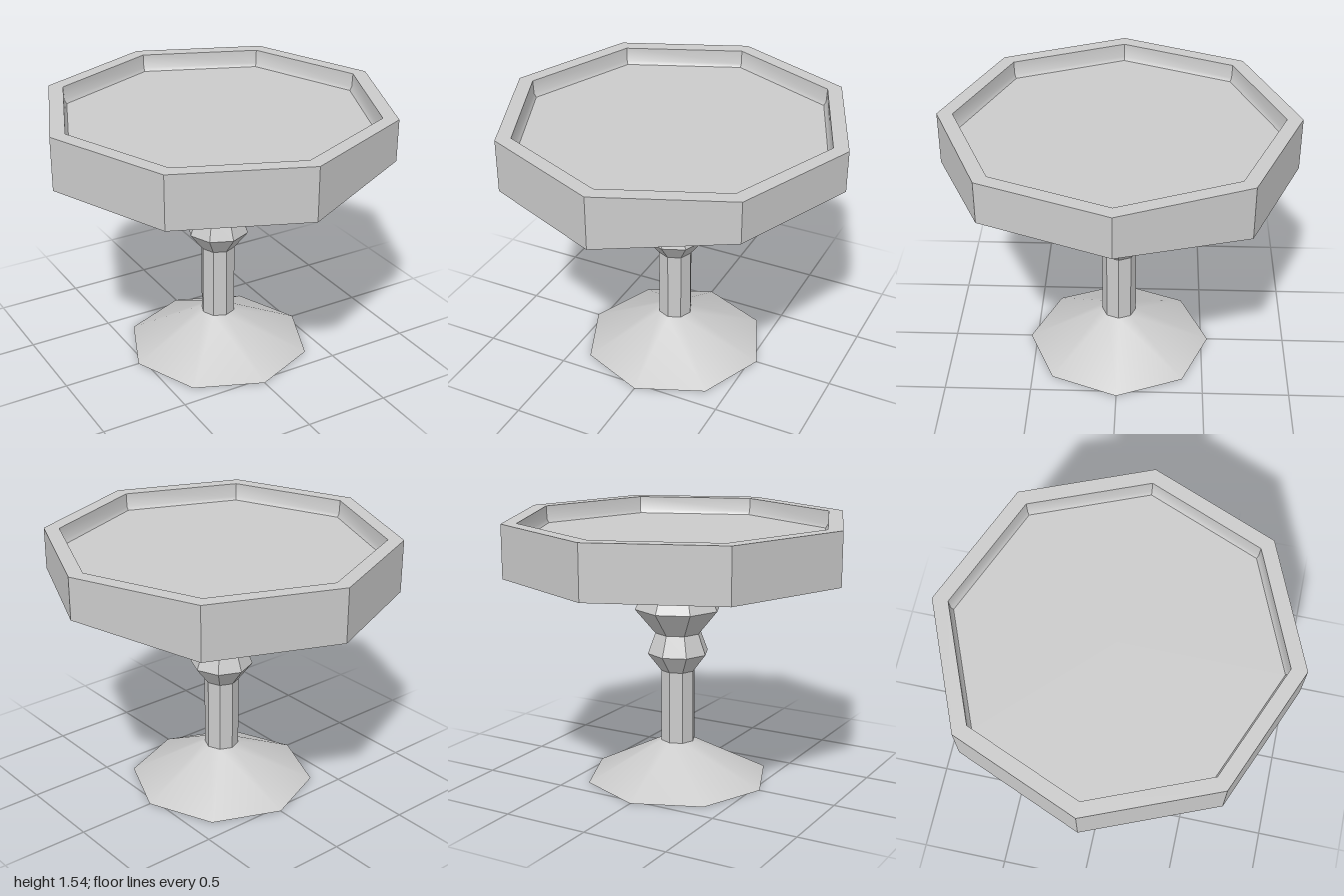
import * as THREE from 'three';
import { toCreasedNormals } from 'three/addons/utils/BufferGeometryUtils.js';

const SIDES = 8;
const material = new THREE.MeshStandardMaterial({ color: 0xcccccc });

// Eight-sided turned part from [radius, height] pairs, listed bottom to top
function turned(name, profile, reshape) {
  const geometry = new THREE.LatheGeometry(profile.map(([r, y]) => new THREE.Vector2(r, y)), SIDES);
  if (reshape) reshape(geometry.attributes.position);
  const mesh = new THREE.Mesh(toCreasedNormals(geometry, 0.6), material);
  mesh.name = name;
  return mesh;
}

export function createModel() {
  const group = new THREE.Group();
  group.name = 'pedestalTable';

  // Flared foot with a flat underside
  group.add(turned('foot', [[0, 0], [0.54, 0], [0.1, 0.225]]));

  // Straight column
  group.add(turned('column', [[0.1, 0.225], [0.1, 0.65]]));

  // Two faceted knobs under the top
  group.add(turned('lowerKnob', [[0.1, 0.65], [0.18, 0.755], [0.135, 0.875]]));
  group.add(turned('upperKnob', [[0.135, 0.875], [0.255, 1.02], [0.15, 1.235]]));

  // Top with a raised rim and sunken panel; two lower corners are lifted
  const lowerY = 1.235, liftedY = 1.3;
  group.add(turned('tableTop', [
    [0.15, lowerY], [1, lowerY], [1, 1.54],
    [0.912, 1.54], [0.908, 1.46], [0.895, 1.44], [0, 1.44],
  ], (p) => {
    for (let i = 0; i < p.count; i++) {
      const x = p.getX(i), z = p.getZ(i);
      const onLowerEdge = Math.abs(p.getY(i) - lowerY) < 1e-4 && Math.hypot(x, z) > 0.9;
      if (onLowerEdge && x > 0.5 && z > -0.1) p.setY(i, liftedY);
    }
  }));

  return group;
}
